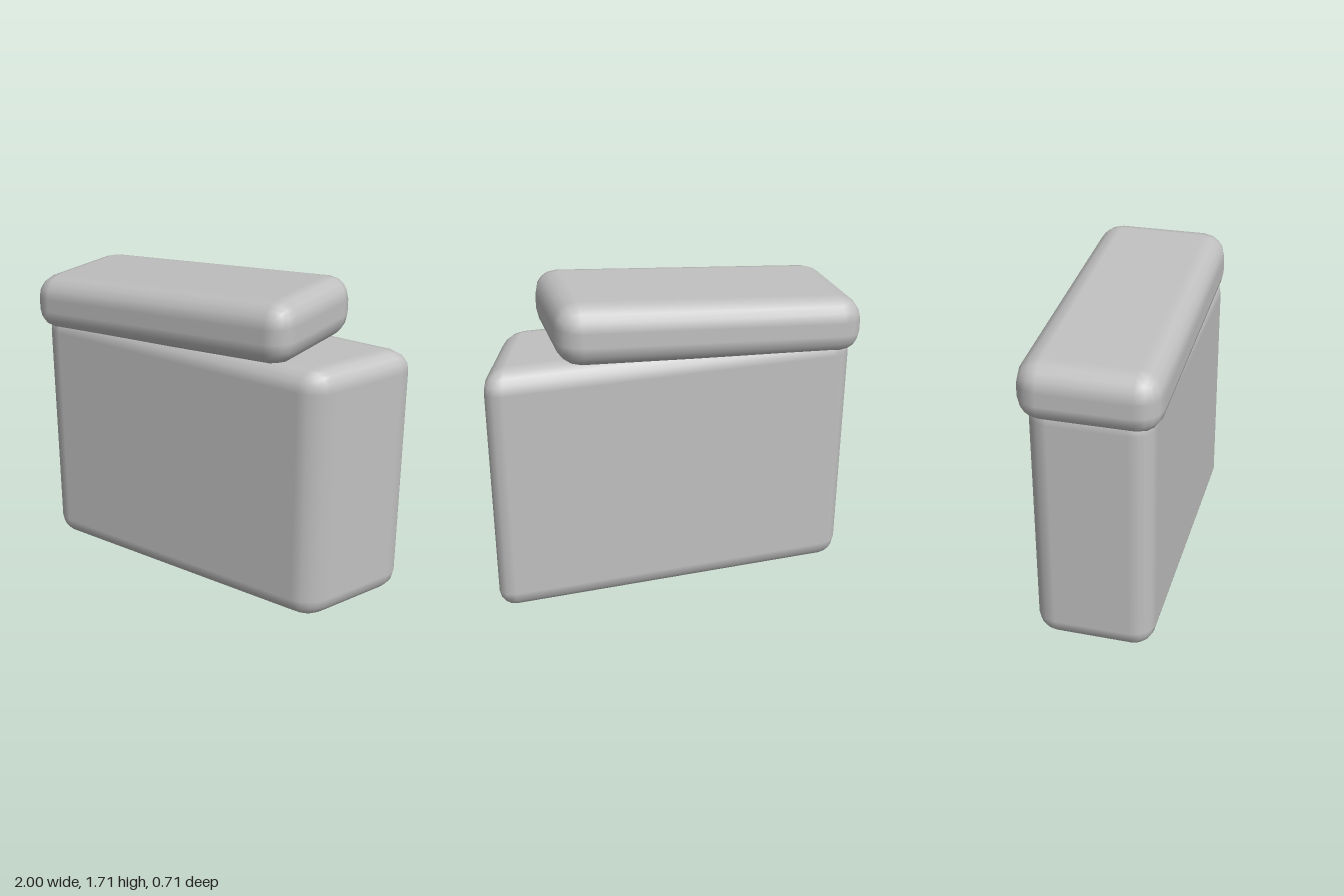
import * as THREE from 'three';
import { RoundedBoxGeometry } from 'three/addons/geometries/RoundedBoxGeometry.js';

// Move every vertex and normal of a geometry by a rule
function reshape(geometry, rule) {
  const pos = geometry.attributes.position;
  const nor = geometry.attributes.normal;
  const p = new THREE.Vector3();
  const n = new THREE.Vector3();
  for (let i = 0; i < pos.count; i++) {
    p.fromBufferAttribute(pos, i);
    n.fromBufferAttribute(nor, i);
    rule(p, n);
    n.normalize();
    pos.setXYZ(i, p.x, p.y, p.z);
    nor.setXYZ(i, n.x, n.y, n.z);
  }
  return geometry;
}

export function createModel() {
  const group = new THREE.Group();
  const grey = new THREE.MeshStandardMaterial({ color: 0xc0c0c0 });
  grey.name = 'plain grey';

  // Upright block whose +x end slants back
  const slant = 0.375;
  const bodyGeometry = new RoundedBoxGeometry(1.875, 1.4, 0.625, 2, 0.115);
  bodyGeometry.translate(-0.0225, 0.7, 0);
  reshape(bodyGeometry, (p, n) => {
    if (p.x < 0) return;
    p.x -= slant * p.z;
    n.z += slant * n.x;
  });
  const body = new THREE.Mesh(bodyGeometry, grey);
  body.name = 'body';
  group.add(body);

  // Sloping cushion on top, a little thicker at its high end
  const rise = 0.0723;
  const topGeometry = new RoundedBoxGeometry(1.635, 0.322, 0.71, 2, 0.125);
  topGeometry.translate(-0.1825, 0, 0);
  reshape(topGeometry, (p, n) => {
    p.y = 1.51 + rise * p.x + p.y * (1 + 0.053 * p.x);
    n.x -= rise * n.y;
  });
  const topSlab = new THREE.Mesh(topGeometry, grey);
  topSlab.name = 'topSlab';
  group.add(topSlab);

  return group;
}
